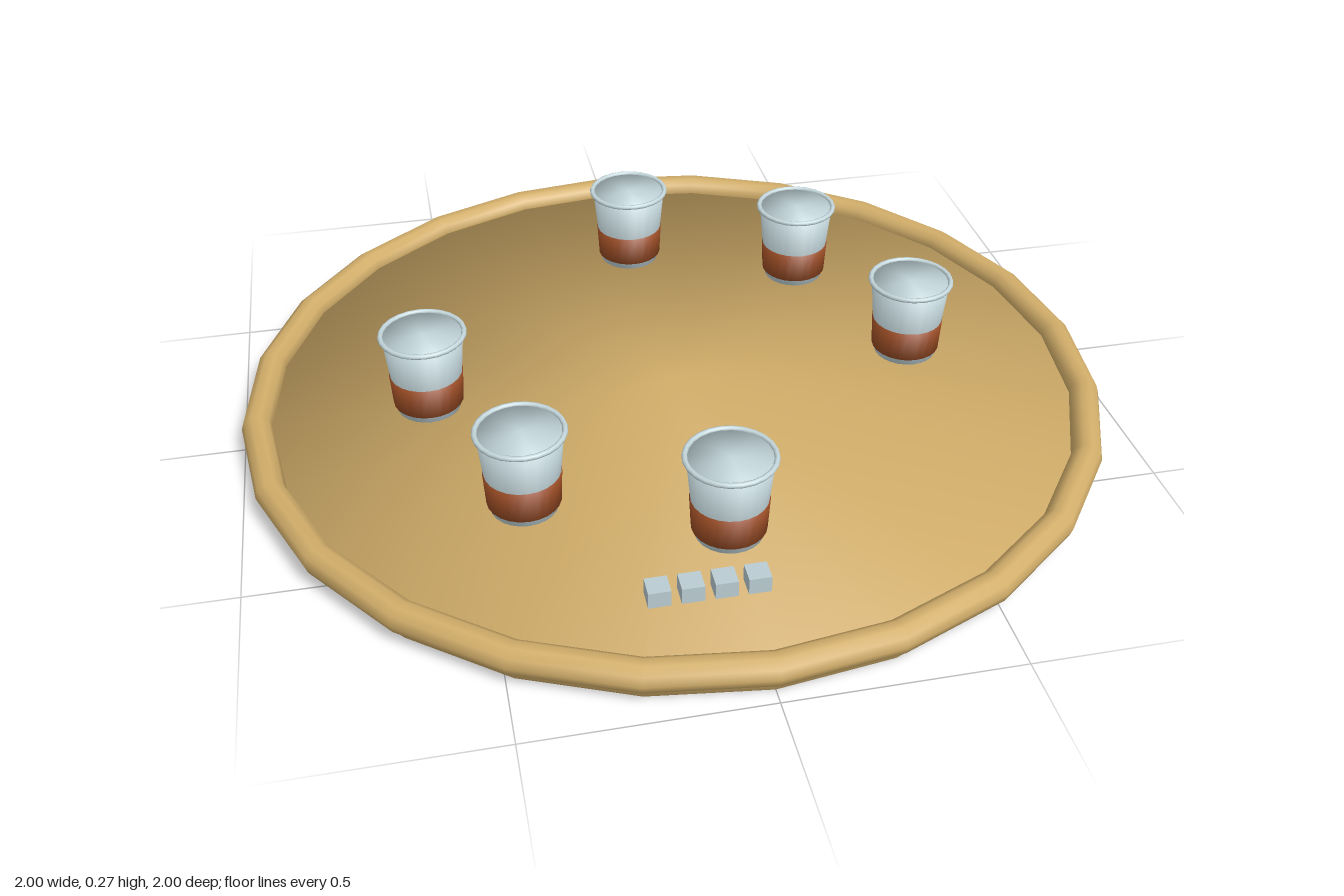
import * as THREE from 'three';

const makeMaterial = (name, color) => {
  const material = new THREE.MeshStandardMaterial({ color });
  material.name = name;
  return material;
};

// Closed drum standing from y0 to y1, with normals blended softly across its edges
function softDrum(rTop, rBottom, y0, y1, sides) {
  const geometry = new THREE.CylinderGeometry(rTop, rBottom, y1 - y0, sides);
  const { position, normal } = geometry.attributes;
  for (let i = 0; i < position.count; i++) {
    const x = position.getX(i), z = position.getZ(i), r = Math.hypot(x, z);
    const up = Math.sign(position.getY(i));
    if (r > 1e-4) normal.setXYZ(i, 0.86 * x / r, 0.51 * up, 0.86 * z / r);
  }
  return geometry.translate(0, (y0 + y1) / 2, 0);
}

// Horizontal ring centred at height y
function ring(radius, tube, y, tubeSides, sides) {
  return new THREE.TorusGeometry(radius, tube, tubeSides, sides)
    .rotateX(Math.PI / 2).translate(0, y, 0);
}

export function createModel() {
  const wood = makeMaterial('wood', 0xd2ae6a);
  const glass = makeMaterial('glass', 0xc4d7dc);
  const liquor = makeMaterial('liquor', 0x9a4c24);
  const ice = makeMaterial('ice', 0xbacdd3);

  const model = new THREE.Group();
  model.name = 'drinksTray';
  const add = (parent, name, geometry, material) => {
    const mesh = new THREE.Mesh(geometry, material);
    mesh.name = name;
    parent.add(mesh);
    return mesh;
  };

  // Round tray with a rolled rim
  add(model, 'trayBase', softDrum(0.965, 0.965, 0, 0.056, 24), wood);
  add(model, 'trayRim', ring(0.966, 0.034, 0.058, 10, 24), wood);

  // Six short glasses, each with a band of drink and a lip
  const cup = softDrum(0.092, 0.073, 0.068, 0.262, 24);
  const drink = softDrum(0.084, 0.08, 0.085, 0.16, 24);
  const lip = ring(0.094, 0.006, 0.262, 8, 24);
  const places = [[0.575, 0], [0.405, -0.405], [0, -0.575], [-0.575, 0], [-0.405, 0.405], [0, 0.575]];
  for (const [x, z] of places) {
    const tumbler = new THREE.Group();
    tumbler.name = 'tumbler';
    tumbler.position.set(x, 0, z);
    add(tumbler, 'cup', cup, glass);
    add(tumbler, 'drink', drink, liquor);
    add(tumbler, 'lip', lip, glass);
    model.add(tumbler);
  }

  // Row of ice cubes at the front
  const cube = new THREE.BoxGeometry(0.047, 0.047, 0.047);
  for (let i = 0; i < 4; i++) {
    add(model, 'iceCube', cube, ice).position.set(-0.183 + i * 0.068, 0.07, 0.735);
  }

  return model;
}
